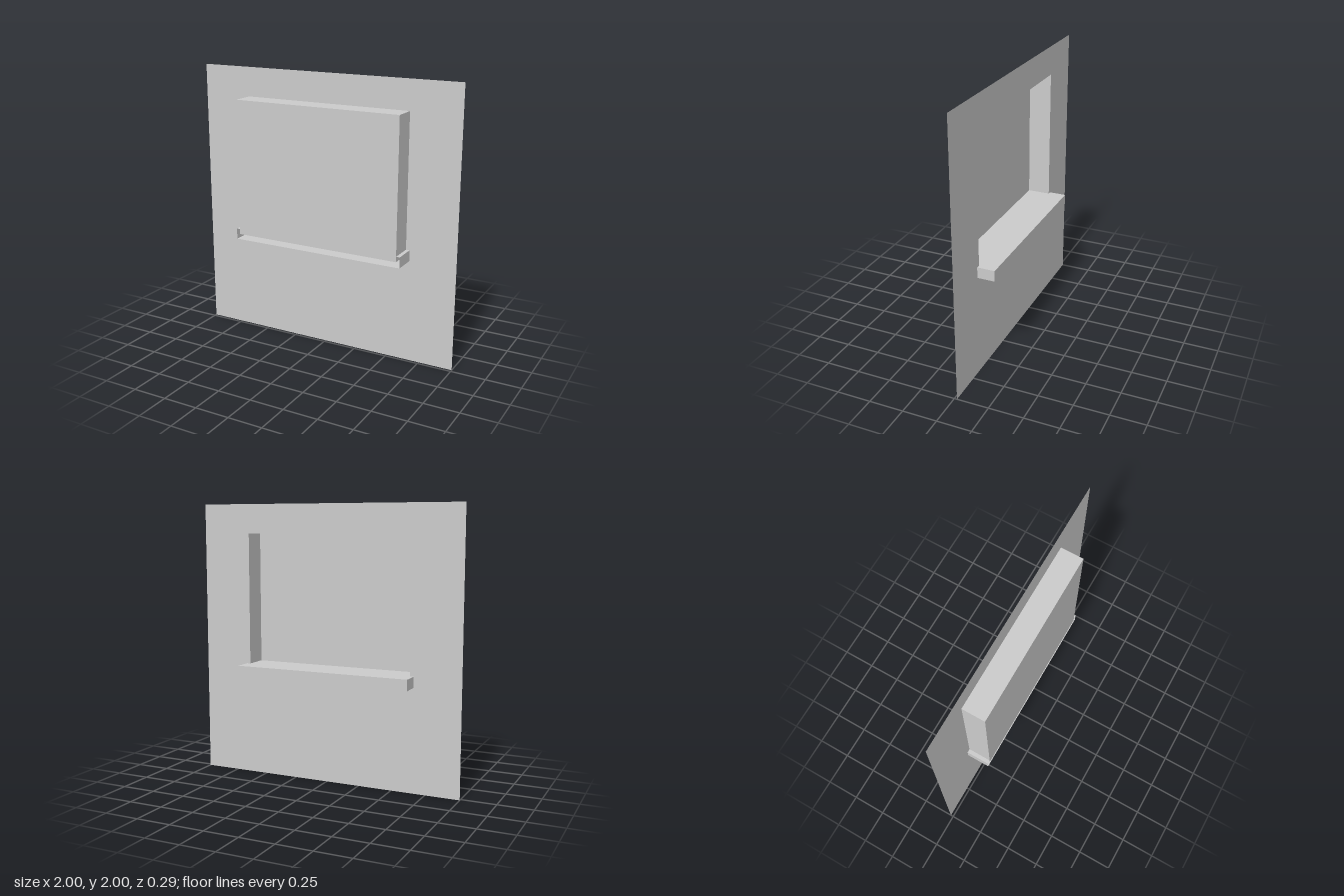
import * as THREE from 'three';

const W = 0.63, Y0 = 0.787, Y1 = 1.787; // window opening
const BACK = -0.02, FRONT = 0.146;      // wall plane and pane plane

export function createModel() {
  const group = new THREE.Group();
  const mat = new THREE.MeshStandardMaterial({ color: 0xcccccc, side: THREE.DoubleSide, flatShading: true });

  const add = (name, geo, x, y, z, parent = group) => {
    const mesh = new THREE.Mesh(geo, mat);
    mesh.name = name;
    mesh.position.set(x, y, z);
    parent.add(mesh);
    return mesh;
  };
  // thin panels: upright facing x, and flat facing y
  const sidePanel = (d, h) => new THREE.PlaneGeometry(d, h).rotateY(Math.PI / 2);
  const flatPanel = (w, d) => new THREE.PlaneGeometry(w, d).rotateX(-Math.PI / 2);

  // Wall sheet with the window opening
  const wall = new THREE.Shape([[-1, 0], [1, 0], [1, 2], [-1, 2]].map(p => new THREE.Vector2(...p)));
  wall.holes.push(new THREE.Path([[-W, Y0], [-W, Y1], [W, Y1], [W, Y0]].map(p => new THREE.Vector2(...p))));
  add('wall', new THREE.ShapeGeometry(wall), 0, 0, BACK);

  // Recess: pane and reveals, open toward the back
  const recess = new THREE.Group();
  recess.name = 'windowRecess';
  group.add(recess);
  const depth = FRONT - BACK, midZ = (FRONT + BACK) / 2, midY = (Y0 + Y1) / 2;
  add('pane', new THREE.PlaneGeometry(2 * W, Y1 - Y0), 0, midY, FRONT, recess);
  for (const s of [-1, 1]) {
    add(s > 0 ? 'leftReveal' : 'rightReveal', sidePanel(depth, Y1 - Y0), s * W, midY, midZ, recess);
  }
  add('topReveal', flatPanel(2 * W, depth), 0, Y1, midZ, recess);
  add('bottomReveal', flatPanel(2 * W, depth), 0, Y0, midZ, recess);

  // Sill: a shallow box without its front face
  const sill = new THREE.Group();
  sill.name = 'sill';
  group.add(sill);
  const sw = 0.657, sy0 = 0.747, sy1 = 0.826, sd = 2 * FRONT;
  add('sillTop', flatPanel(2 * sw, sd), 0, sy1, 0, sill);
  add('sillBottom', flatPanel(2 * sw, sd), 0, sy0, 0, sill);
  add('sillEdge', new THREE.PlaneGeometry(2 * sw, sy1 - sy0), 0, (sy0 + sy1) / 2, -FRONT, sill);
  for (const s of [-1, 1]) {
    add(s > 0 ? 'leftSillEnd' : 'rightSillEnd', sidePanel(sd, sy1 - sy0), s * sw, (sy0 + sy1) / 2, 0, sill);
  }
  return group;
}
